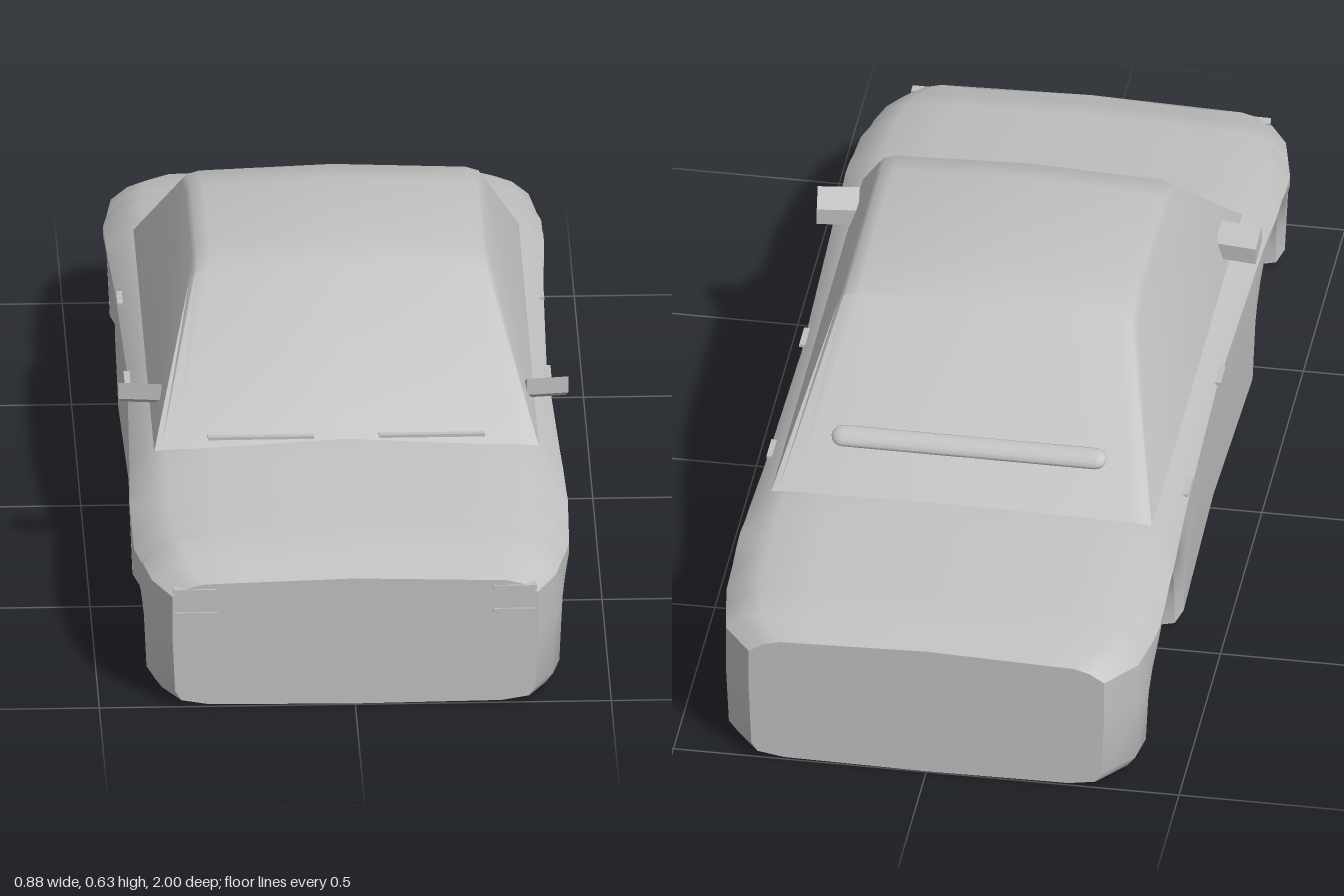
import * as THREE from 'three';
import { toCreasedNormals } from 'three/addons/utils/BufferGeometryUtils.js';

const paint = new THREE.MeshStandardMaterial({ color: 0xc0c0c0 });
paint.name = 'light grey';

// piecewise linear lookup in a table of [z, value], z falling
function lookup(table, z) {
  let i = 0;
  while (i < table.length - 2 && z < table[i + 1][0]) i++;
  const [z0, a] = table[i], [z1, b] = table[i + 1];
  return a + (b - a) * THREE.MathUtils.clamp((z0 - z) / (z0 - z1), 0, 1);
}

// skin over cross-sections that run from front to rear
function loft(rings, closed, extra = []) {
  const n = rings[0].length, pos = rings.flat(2), index = [...extra];
  for (let i = 0; i < rings.length - 1; i++) {
    for (let k = 0; k < (closed ? n : n - 1); k++) {
      const a = i * n + k, b = i * n + (k + 1) % n;
      index.push(a, b, a + n, b, b + n, a + n);
    }
  }
  if (closed) {
    const last = (rings.length - 1) * n;
    for (let k = 1; k < n - 1; k++) index.push(0, k + 1, k, last, last + k, last + k + 1);
  }
  const g = new THREE.BufferGeometry();
  g.setAttribute('position', new THREE.Float32BufferAttribute(pos, 3));
  g.setIndex(index);
  return toCreasedNormals(g, 0.6);
}

const halfWidth = [[1, 0.355], [0.93, 0.395], [0.8, 0.425], [0.64, 0.428], [0.4, 0.42], [0, 0.41],
  [-0.4, 0.418], [-0.64, 0.428], [-0.8, 0.428], [-0.93, 0.408], [-1, 0.35]];
const topHeight = [[1, 0.268], [0.87, 0.318], [0.52, 0.36], [0, 0.357], [-0.57, 0.35], [-0.9, 0.315], [-1, 0.285]];
const shoulder = [[1, 0.45], [0.85, 1], [-0.85, 1], [-1, 0.5]];

// body section; (z, y) is the underside point and (nz, ny) points into the body
function bodyRing(z, y, nz, ny) {
  const lip = 0.028, zs = z + lip * nz, ys = y + lip * ny;
  const w = lookup(halfWidth, zs), t = lookup(topHeight, zs), s = lookup(shoulder, zs);
  const side = Math.max(t - 0.072 * s, ys + 0.006);
  const half = [
    [0.6 * w, t - 0.01, zs], [0.83 * w, t - 0.018 * s, zs], [0.92 * w, t - 0.036 * s, zs], [w, side, zs],
    [w, THREE.MathUtils.lerp(side, ys, 0.4), zs], [0.985 * w, ys, zs],
    [0.95 * w, y + 0.009 * ny, z + 0.009 * nz], [0.8 * w, y, z],
  ];
  const mirror = half.map(([x, py, pz]) => [-x, py, pz]).reverse();
  return [[0, t, zs], ...half, [0, y - 0.003 * ny, z], ...mirror];
}

function bodyGeometry() {
  const floor = 0.007, r = 0.2, yc = 0.045, steps = 16;
  const rings = [];
  const arch = (zc) => {
    rings.push(bodyRing(zc + r, floor, 1, 1));
    for (let i = 0; i <= steps; i++) {
      const a = Math.PI * i / steps, c = Math.cos(a), s = Math.sin(a);
      rings.push(bodyRing(zc + r * c, yc + r * s, c, s));
    }
    rings.push(bodyRing(zc - r, floor, -1, 1));
  };
  const flat = (z) => rings.push(bodyRing(z, floor, 0, 1));
  [0.996, 0.93].forEach(flat);
  arch(0.64);
  [0.2, 0, -0.2].forEach(flat);
  arch(-0.635);
  [-0.93, -0.998].forEach(flat);
  return loft(rings, true);
}

function cabinGeometry() {
  // roof line from windscreen foot to rear window foot
  const line = [[0.525, 0.347], [0.235, 0.605], [0.16, 0.622], [-0.14, 0.622], [-0.25, 0.605], [-0.575, 0.345]];
  const rings = line.map(([z, y], i) => {
    const foot = i === 0 || i === line.length - 1;
    const drop = foot ? 0.004 : 0.02, w = 0.375 - (y - drop - 0.345) * 0.33;
    const half = [[w, y - drop, z], [0.965 * w, y - drop * 0.4, z], [0.88 * w, y, z]];
    return [...half.map(([x, py, pz]) => [-x, py, pz]), [0, y + (foot ? 0.004 : 0.01), z], ...half.reverse()];
  });
  // side windows close the cabin left and right
  const n = rings[0].length, sides = [];
  for (let i = 1; i < rings.length - 1; i++) {
    sides.push(n - 1, (i + 1) * n + n - 1, i * n + n - 1, 0, i * n, (i + 1) * n);
  }
  return loft(rings, false, sides);
}

export function createModel() {
  const car = new THREE.Group();
  car.name = 'carBody';
  const add = (name, geometry, x = 0, y = 0, z = 0) => {
    const m = new THREE.Mesh(geometry, paint);
    m.name = name;
    m.position.set(x, y, z);
    car.add(m);
    return m;
  };

  add('body', bodyGeometry());
  add('cabin', cabinGeometry());

  // mirror housings slope down towards the rear
  const mirrorShape = new THREE.BoxGeometry(0.082, 0.034, 0.045);
  const p = mirrorShape.attributes.position;
  for (let i = 0; i < p.count; i++) p.setY(i, p.getY(i) + 0.55 * p.getZ(i));
  mirrorShape.computeVertexNormals();

  for (const [side, s] of [['left', 1], ['right', -1]]) {
    add(side + 'Mirror', mirrorShape, s * 0.396, 0.394, 0.353).rotation.y = s * 0.12;
    for (const y of [0.247, 0.198]) {
      add(side + 'HeadlightBar', new THREE.BoxGeometry(0.085, 0.009, 0.02), s * 0.312, y, 0.99);
    }
    add(side + 'Wiper', new THREE.BoxGeometry(0.207, 0.006, 0.012), s * 0.167, 0.366, 0.515);
    for (const z of [0.04, -0.355]) {
      add(side + 'DoorHandle', new THREE.BoxGeometry(0.012, 0.006, 0.06), s * 0.411, 0.29, z);
    }
  }

  // pill-shaped bar lying on the rear window
  const bar = new THREE.CapsuleGeometry(0.022, 0.5, 4, 12);
  bar.rotateZ(Math.PI / 2);
  bar.scale(1, 0.45, 1);
  add('rearWindowBar', bar, 0, 0.424, -0.482).rotation.x = -0.67;

  return car;
}
